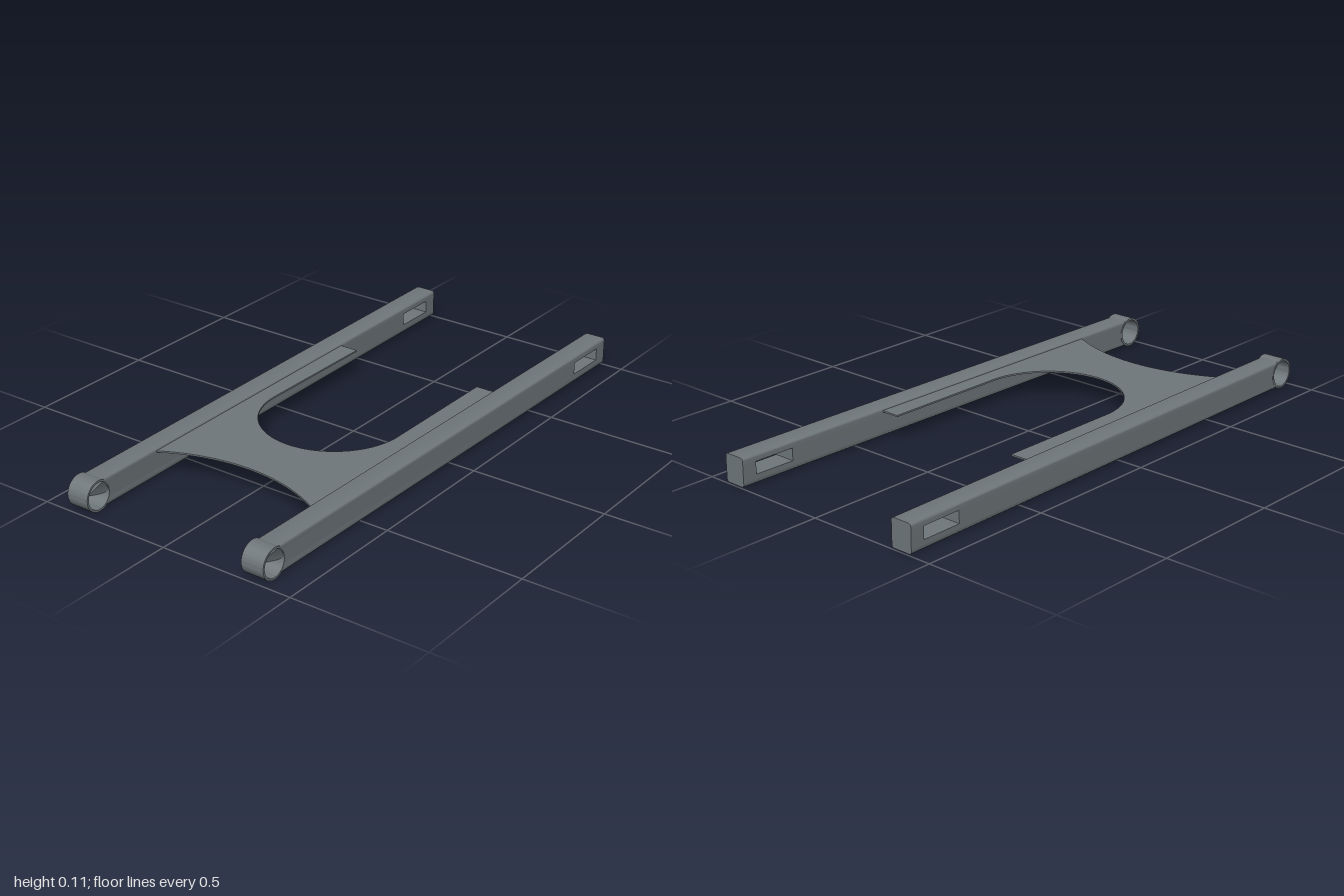
import * as THREE from 'three';
import { toCreasedNormals, mergeGeometries } from 'three/addons/utils/BufferGeometryUtils.js';

const steel = new THREE.MeshStandardMaterial({ color: 0x6f777b });
steel.name = 'grey steel';

const PIVOT = { y: 0.0555, z: 0.945, outer: 0.0555, inner: 0.048 };
const RAIL = { bottom: 0.005, top: 0.107, half: 0.0415, corner: 0.01 };
const SLOT = { bottom: 0.037, top: 0.082, back: -0.945, front: -0.79 };

// Half width of the rounded rail section at a given height
function halfWidth(y) {
  const d = Math.min(y - RAIL.bottom, RAIL.top - y);
  const r = RAIL.corner;
  return d >= r ? RAIL.half : RAIL.half - r + Math.sqrt(Math.max(0, r * r - (r - d) ** 2));
}

// Slice of the rail between two heights, running from z0 to z1
function railPiece(y0, y1, z0, z1) {
  const { bottom, top, corner } = RAIL;
  const ys = [y0, y1];
  for (const a of [0.15, 0.4, 0.7, 1]) ys.push(bottom + corner * a, top - corner * a);
  for (let i = 1; i < 12; i++) ys.push(bottom + corner + (top - bottom - 2 * corner) * i / 12);
  const levels = ys.filter((y, i) => i < 2 || (y > y0 + 1e-4 && y < y1 - 1e-4)).sort((a, b) => a - b);
  const right = levels.map(y => new THREE.Vector2(halfWidth(y), y));
  const left = levels.map(y => new THREE.Vector2(-halfWidth(y), y)).reverse();
  const geo = new THREE.ExtrudeGeometry(new THREE.Shape([...right, ...left]),
    { depth: z1 - z0, bevelEnabled: false });
  return geo.translate(0, 0, z0);
}

// Slotted rail: splays outward to the rear, front end cupped around the pivot tube
function railGeometry(side) {
  const geo = mergeGeometries([
    railPiece(RAIL.bottom, RAIL.top, SLOT.front, 0.9),
    railPiece(RAIL.bottom, RAIL.top, -1, SLOT.back),
    railPiece(RAIL.bottom, SLOT.bottom, SLOT.back, SLOT.front),
    railPiece(SLOT.top, RAIL.top, SLOT.back, SLOT.front),
  ]);
  const p = geo.attributes.position;
  for (let i = 0; i < p.count; i++) {
    let z = p.getZ(i);
    if (z > 0.85) {
      const dy = p.getY(i) - PIVOT.y;
      z = PIVOT.z - Math.sqrt(Math.max(0, 0.0525 ** 2 - dy * dy));
    }
    p.setXYZ(i, p.getX(i) + side * (0.37 - 0.0124 * z), p.getY(i), z);
  }
  return toCreasedNormals(geo, 0.6);
}

// Hollow tube across the front end of each rail
function pivotGeometry() {
  const ring = new THREE.Shape().absarc(0, 0, PIVOT.outer, 0, Math.PI * 2);
  ring.holes.push(new THREE.Path().absarc(0, 0, PIVOT.inner, 0, Math.PI * 2, true));
  const geo = new THREE.ExtrudeGeometry(ring, { depth: 0.085, bevelEnabled: false, curveSegments: 48 });
  geo.translate(0, 0, -0.0425).rotateY(Math.PI / 2);
  return toCreasedNormals(geo, 0.6);
}

// Thin web joining the rails, with a U-shaped cutout behind and a shallow arc in front
function webGeometry() {
  const s = new THREE.Shape();
  const edge = 0.345, inner = 0.263, back = -0.38, bend = 0.105;
  const R = 0.652, cz = 0.576 + R;
  const a = Math.asin(edge / R);
  s.moveTo(-edge, back);
  s.lineTo(-inner, back);
  s.lineTo(-inner, bend);
  s.absarc(0, bend, inner, Math.PI, 0, true);
  s.lineTo(inner, back);
  s.lineTo(edge, back);
  s.lineTo(edge, cz - R * Math.cos(a));
  s.absarc(0, cz, R, -Math.PI / 2 + a, -Math.PI / 2 - a, true);
  s.lineTo(-edge, back);
  const geo = new THREE.ExtrudeGeometry(s, { depth: 0.006, bevelEnabled: false, curveSegments: 40 });
  geo.rotateX(Math.PI / 2).translate(0, 0.099, 0);
  return toCreasedNormals(geo, 0.6);
}

export function createModel() {
  const model = new THREE.Group();
  model.name = 'swingarm';
  const add = (name, geo) => {
    const mesh = new THREE.Mesh(geo, steel);
    mesh.name = name;
    mesh.position.x = -0.0015;
    model.add(mesh);
    return mesh;
  };
  for (const [label, side] of [['left', 1], ['right', -1]]) {
    add(label + 'Rail', railGeometry(side));
    const tube = add(label + 'PivotTube', pivotGeometry());
    tube.position.x += side * 0.3585;
    tube.position.y = PIVOT.y;
    tube.position.z = PIVOT.z;
  }
  add('crossWeb', webGeometry());
  return model;
}
